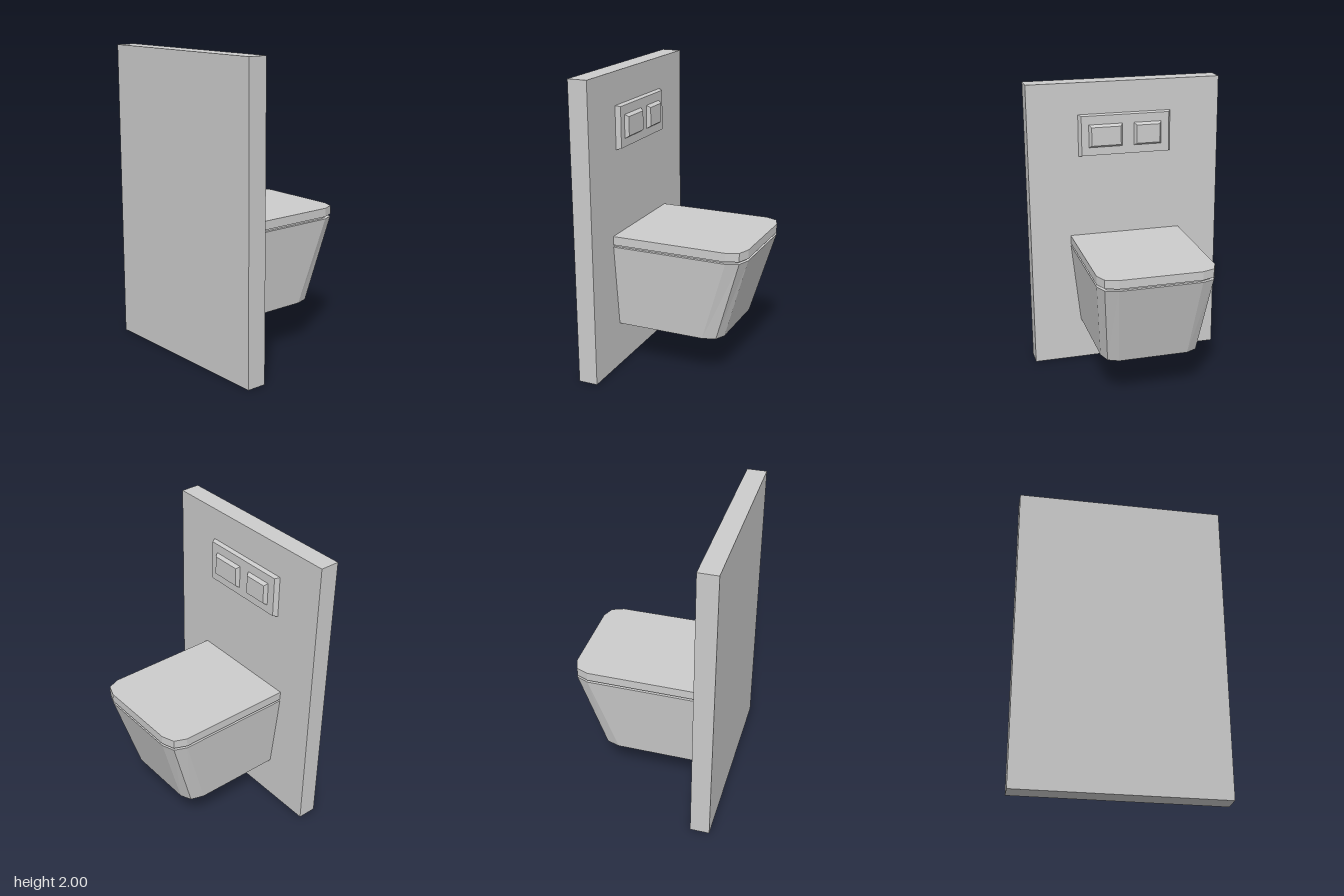
import * as THREE from 'three';

const WALL_Z = 0.38;
const material = new THREE.MeshStandardMaterial({ color: 0xcccccc, flatShading: true });

// Flat-sided solid between two convex loops, counter-clockwise seen from the end loop
function loft(name, start, end) {
  const pos = [];
  const tri = (...pts) => pts.forEach((p) => pos.push(...p));
  const n = start.length;
  for (let i = 0; i < n; i++) {
    const j = (i + 1) % n;
    tri(start[i], start[j], end[j]);
    tri(start[i], end[j], end[i]);
  }
  for (let i = 1; i < n - 1; i++) {
    tri(end[0], end[i], end[i + 1]);
    tri(start[0], start[i + 1], start[i]);
  }
  const geo = new THREE.BufferGeometry();
  geo.setAttribute('position', new THREE.Float32BufferAttribute(pos, 3));
  geo.computeVertexNormals();
  const mesh = new THREE.Mesh(geo, material);
  mesh.name = name;
  return mesh;
}

// Horizontal outline with chamfered outer corners, mirrored in x
function outline(y, half) {
  const side = [[half[0][0], WALL_Z], ...half];
  const mirrored = side.map(([x, z]) => [-x, z]).reverse();
  return [...side, ...mirrored].map(([x, z]) => [x, y, z]);
}

// Upright rectangle facing -z
const rect = (x0, x1, y0, y1, z) => [[x1, y0, z], [x0, y0, z], [x0, y1, z], [x1, y1, z]];

// Plate whose outer face is smaller than its base
function bevelPlate(name, x0, x1, y0, y1, z0, z1, bevelX, bevelY) {
  return loft(name, rect(x0, x1, y0, y1, z0),
    rect(x0 + bevelX, x1 - bevelX, y0 + bevelY, y1 - bevelY, z1));
}

export function createModel() {
  const model = new THREE.Group();
  model.name = 'wallHungToilet';

  // Wall panel
  const wall = new THREE.Mesh(new THREE.BoxGeometry(1.335, 2, 0.13), material);
  wall.name = 'wallPanel';
  wall.position.set(0, 1, WALL_Z + 0.065);
  model.add(wall);

  // Bowl, recessed seat joint and lid
  const rim = [[0.39, -0.4], [0.357, -0.48], [0.275, -0.51]];
  const foot = [[0.33, -0.22], [0.303, -0.307], [0.233, -0.34]];
  const joint = [[0.37, -0.39], [0.34, -0.462], [0.265, -0.49]];
  model.add(
    loft('bowl', outline(0.3, foot), outline(0.865, rim)),
    loft('seatJoint', outline(0.865, joint), outline(0.88, joint)),
    loft('lid', outline(0.88, rim), outline(0.938, rim)),
  );

  // Flush plate with a large and a small button
  const flush = new THREE.Group();
  flush.name = 'flushPlate';
  flush.add(
    bevelPlate('plate', -0.322, 0.322, 1.5, 1.785, WALL_Z, 0.35, 0.017, 0.007),
    bevelPlate('largeButton', 0.022, 0.255, 1.562, 1.718, 0.35, 0.326, 0.015, 0.015),
    bevelPlate('smallButton', -0.25, -0.06, 1.562, 1.718, 0.35, 0.326, 0.015, 0.015),
  );
  model.add(flush);

  return model;
}
